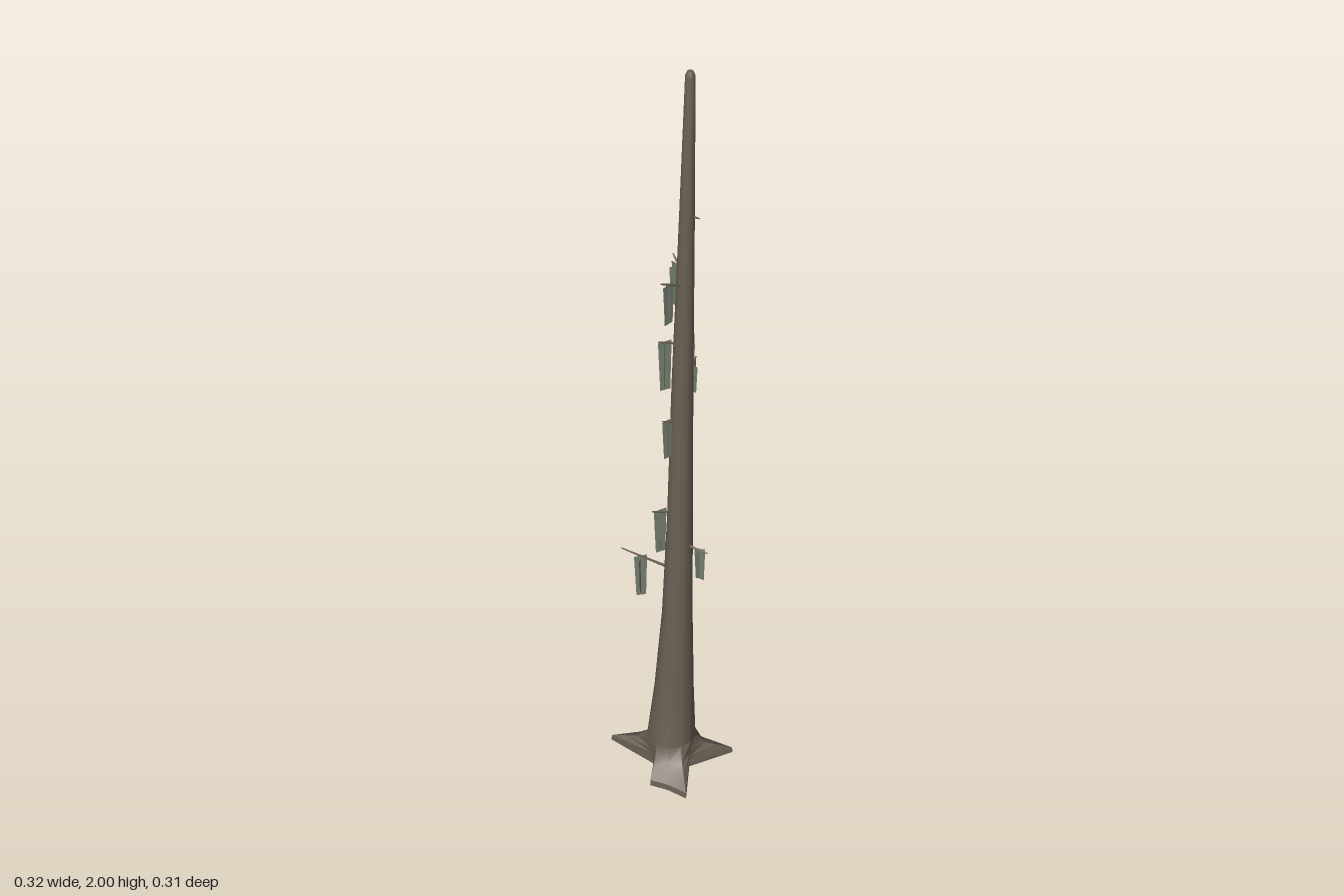
import * as THREE from 'three';
import { toCreasedNormals } from 'three/addons/utils/BufferGeometryUtils.js';

const bark = new THREE.MeshStandardMaterial({ color: 0x6b6054, side: THREE.DoubleSide });
const mossGreen = new THREE.MeshStandardMaterial({ color: 0x747d6e, side: THREE.DoubleSide });

// Outline of the root flare on the ground (x, z), one point every 30 degrees or so
const ROOTS = [
  [0.007, -0.155], [0.045, -0.06], [0.085, -0.05], [0.16, -0.03], [0.055, 0.038], [0.062, 0.152],
  [0.012, 0.129], [-0.035, 0.118], [-0.035, 0.042], [-0.16, -0.032], [-0.085, -0.055], [-0.033, -0.05],
];
const N = ROOTS.length;

// Trunk stations: height, centre x, centre z, radius
const TRUNK = [
  [0.085, 0.004, 0.003, 0.062], [0.25, 0.011, 0.006, 0.05], [0.5, 0.019, 0.009, 0.038],
  [0.8, 0.025, 0.011, 0.031], [1.2, 0.03, 0.012, 0.025], [1.6, 0.038, 0.016, 0.018],
  [1.99, 0.045, 0.021, 0.011], [2.0, 0.045, 0.021, 0.007],
];

function trunkRing([y, cx, cz, r]) {
  return ROOTS.map((_, i) => {
    const a = -Math.PI / 2 + (i / N) * Math.PI * 2;
    return new THREE.Vector3(cx + r * Math.cos(a), y, cz + r * Math.sin(a));
  });
}

// Skins a stack of rings and closes both ends
function loft(rings) {
  const pos = [];
  const tri = (...pts) => pts.forEach((p) => pos.push(p.x, p.y, p.z));
  const middle = (ring) => ring.reduce((s, p) => s.add(p), new THREE.Vector3()).divideScalar(ring.length);
  const last = rings[rings.length - 1];
  const low = middle(rings[0]), high = middle(last);
  for (let i = 0; i < N; i++) {
    const j = (i + 1) % N;
    for (let k = 0; k < rings.length - 1; k++) {
      const a = rings[k], b = rings[k + 1];
      tri(a[i], b[i], a[j]);
      tri(a[j], b[i], b[j]);
    }
    tri(low, rings[0][i], rings[0][j]);
    tri(high, last[j], last[i]);
  }
  const geo = new THREE.BufferGeometry();
  geo.setAttribute('position', new THREE.Float32BufferAttribute(pos, 3));
  return toCreasedNormals(geo, 0.6);
}

function makeTrunk() {
  const collar = trunkRing(TRUNK[0]);
  // Root rings shrink from the star outline towards the collar
  const flare = [[0, 0], [0.017, 0.03], [0.036, 0.45], [0.05, 0.75]].map(([y, t]) =>
    ROOTS.map(([x, z], i) => new THREE.Vector3(x, y, z).lerp(collar[i].clone().setY(y), t)));
  const mesh = new THREE.Mesh(loft([...flare, ...TRUNK.map(trunkRing)]), bark);
  mesh.name = 'trunk';
  return mesh;
}

// Tapered dead twig between two points
function makeTwig(from, to, radius = 0.004) {
  const a = new THREE.Vector3(...from), b = new THREE.Vector3(...to);
  const dir = b.clone().sub(a);
  const mesh = new THREE.Mesh(new THREE.CylinderGeometry(radius * 0.4, radius, dir.length(), 5), bark);
  mesh.position.copy(a).add(b).multiplyScalar(0.5);
  mesh.quaternion.setFromUnitVectors(new THREE.Vector3(0, 1, 0), dir.normalize());
  mesh.name = 'twig';
  return mesh;
}

// Thin hanging strips crossing each other below a twig
function makeMoss(x, top, z, height, angle, width = 0.032) {
  const group = new THREE.Group();
  group.name = 'hangingMoss';
  [[0, 1, 0], [1.2, 0.85, -0.008]].forEach(([turn, size, drop]) => {
    const w = width * size / 2, h = height * size;
    const shape = new THREE.Shape([
      [-w, 0], [w, 0.005], [w * 0.8, -h], [-w * 0.7, -h - 0.002],
    ].map((p) => new THREE.Vector2(...p)));
    const strip = new THREE.Mesh(new THREE.ShapeGeometry(shape), mossGreen);
    strip.position.y = drop;
    strip.rotation.y = angle + turn;
    strip.name = 'mossStrip';
    group.add(strip);
  });
  group.position.set(x, top, z);
  return group;
}

export function createModel() {
  const tree = new THREE.Group();
  tree.name = 'deadTree';
  tree.add(makeTrunk());

  // Twigs with moss: twig start, twig tip, moss [x, top, z, height, angle]
  const hung = [
    [[0.035, 1.47, 0.02], [-0.01, 1.505, 0.075], [0.004, 1.49, 0.056, 0.1, 0.9]],
    [[0.035, 1.48, 0.01], [0.0, 1.51, -0.045], [0.008, 1.495, -0.026, 0.11, -0.9]],
    [[0.03, 1.31, 0.015], [-0.02, 1.33, 0.045], [-0.007, 1.325, 0.036, 0.13, 0.45]],
    [[0.032, 1.28, 0.01], [0.045, 1.3, -0.06], [0.042, 1.285, -0.045, 0.1, 1.2]],
    [[0.032, 1.2, 0.01], [0.05, 1.215, -0.075], [0.046, 1.21, -0.056, 0.085, 1.3]],
    [[0.03, 1.09, 0.015], [-0.012, 1.11, 0.045], [0.0, 1.105, 0.034, 0.105, 0.7]],
    [[0.02, 0.82, 0.012], [-0.035, 0.85, 0.055], [-0.018, 0.845, 0.042, 0.125, 0.5]],
    [[0.03, 0.73, 0.015], [0.095, 0.725, 0.042], [0.076, 0.728, 0.033, 0.09, -0.5]],
    [[0.01, 0.635, 0.005], [-0.125, 0.658, -0.03], [-0.075, 0.648, -0.016, 0.122, 0.25]],
  ];
  hung.forEach(([from, to, moss]) => tree.add(makeTwig(from, to), makeMoss(...moss)));

  // Bare twigs and stubs
  const bare = [
    [[0.025, 0.815, 0.0], [0.015, 0.79, -0.105]],
    [[0.025, 0.8, 0.0], [0.04, 0.835, -0.05]],
    [[0.038, 1.65, 0.016], [0.067, 1.645, 0.02]],
    [[0.03, 1.21, 0.012], [0.06, 1.215, 0.005]],
  ];
  bare.forEach(([from, to]) => tree.add(makeTwig(from, to)));
  return tree;
}
